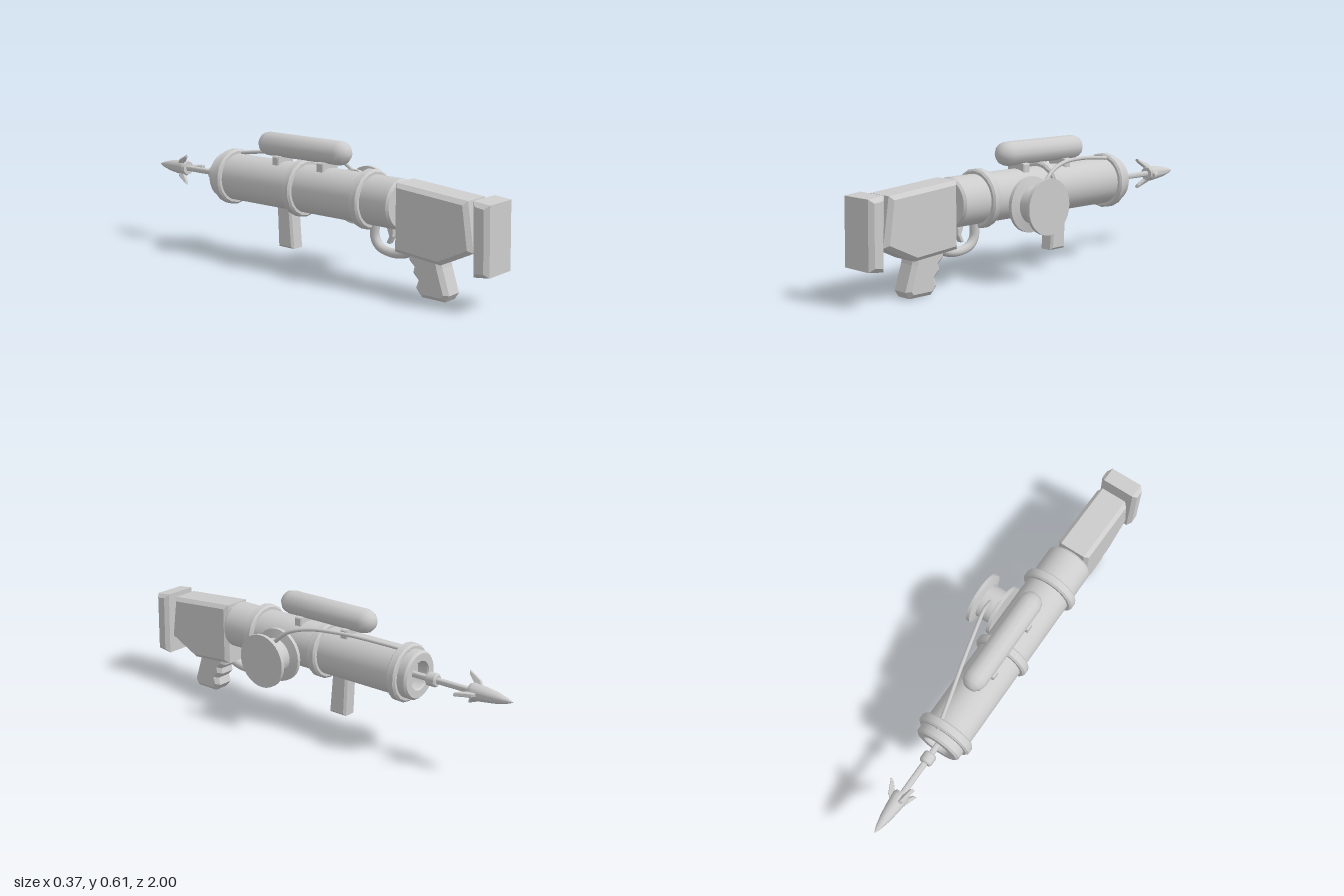
import * as THREE from 'three';
import { toCreasedNormals } from 'three/addons/utils/BufferGeometryUtils.js';

const AX = -0.058, AY = 0.37; // barrel axis

export function createModel() {
  const model = new THREE.Group();
  model.name = 'harpoonLauncher';
  const metal = new THREE.MeshStandardMaterial({ color: 0xcccccc });
  metal.name = 'light grey metal';

  const add = (name, geometry, x = 0, y = 0, z = 0, parent = model) => {
    const mesh = new THREE.Mesh(geometry, metal);
    mesh.name = name;
    mesh.position.set(x, y, z);
    parent.add(mesh);
    return mesh;
  };
  // Turned part: [radius, position along axis], running along z (or x)
  const turned = (points, sides, alongX = false, crease = 0.6) => {
    const g = new THREE.LatheGeometry(points.map(p => new THREE.Vector2(...p)), sides);
    if (alongX) g.rotateZ(-Math.PI / 2);
    else g.rotateX(Math.PI / 2);
    return toCreasedNormals(g, crease);
  };
  // Bevelled side profile of [z, y] points, given a width across x
  const profile = (points, width, bevel) => {
    const g = new THREE.ExtrudeGeometry(new THREE.Shape(points.map(p => new THREE.Vector2(...p))), {
      depth: width - 2 * bevel, bevelEnabled: true, bevelThickness: bevel,
      bevelSize: bevel, bevelOffset: -bevel, bevelSegments: 1,
    });
    g.translate(0, 0, bevel - width / 2);
    g.rotateY(-Math.PI / 2);
    return g;
  };
  const tube = (points, radius, segments) => new THREE.TubeGeometry(
    new THREE.CatmullRomCurve3(points.map(p => new THREE.Vector3(...p))), segments, radius, 8);

  // Barrel with a shallow open muzzle
  add('barrel', turned([
    [0, -0.49], [0.06, -0.49], [0.06, -0.535], [0.066, -0.543], [0.1, -0.543], [0.109, -0.533],
    [0.109, 0.507], [0.1, 0.518], [0, 0.518],
  ], 32), AX, AY);

  // Raised bands
  [0.345, -0.037, -0.475].forEach(z => add('barrelBand', turned([
    [0.1, -0.023], [0.122, -0.023], [0.131, -0.015], [0.131, 0.015], [0.122, 0.023], [0.1, 0.023],
  ], 18), AX, AY, z));

  // Gas tank and its brackets
  const tank = [[0, -0.263]];
  for (let i = 1; i <= 3; i++) {
    const a = i / 3 * Math.PI / 2;
    tank.push([0.055 * Math.sin(a), -0.208 - 0.055 * Math.cos(a)]);
  }
  add('tank', turned([...tank, ...tank.map(([r, z]) => [r, -z]).reverse()], 12, false, 0.8),
    AX, 0.55, -0.035);
  [0.1, -0.165].forEach(z => add('tankBracket',
    profile([[-0.02, 0.455], [0.02, 0.455], [0.02, 0.505], [-0.02, 0.505]], 0.106, 0.005), AX, 0, z));

  // Line spool on the side
  add('spool', turned([
    [0, 0.06], [0.124, 0.06], [0.124, 0.077], [0.083, 0.087], [0.083, 0.16],
    [0.124, 0.169], [0.124, 0.186], [0, 0.186],
  ], 32, true, 0.2), 0, 0.336, 0.152);

  // Line from the spool to the muzzle
  add('line', tube([
    [-0.04, 0.475, -0.5], [-0.005, 0.492, -0.36], [0.038, 0.506, -0.2],
    [0.08, 0.502, -0.04], [0.108, 0.473, 0.06], [0.123, 0.405, 0.14],
  ], 0.009, 36));

  // Stock, butt pad and pistol grip
  add('stock', profile([
    [0.525, 0.18], [0.525, 0.474], [0.88, 0.444], [0.912, 0.236], [0.755, 0.16],
  ], 0.157, 0.018), AX);
  add('buttPad', profile([
    [0.916, 0.452], [0.993, 0.444], [1.0, 0.153], [0.925, 0.144],
  ], 0.19, 0.018), AX);
  add('grip', profile([
    [0.735, 0.2], [0.748, 0.14], [0.785, 0.03], [0.765, 0], [0.65, 0], [0.618, 0.035],
    [0.63, 0.07], [0.602, 0.098], [0.608, 0.125], [0.582, 0.148], [0.575, 0.2],
  ], 0.106, 0.018), AX);

  // Trigger and guard
  add('triggerGuard', tube([
    [AX, 0.2, 0.59], [AX, 0.168, 0.55], [AX, 0.152, 0.47], [AX, 0.168, 0.4],
    [AX, 0.205, 0.372], [AX, 0.28, 0.372],
  ], 0.021, 24));
  add('trigger', profile([
    [0.435, 0.28], [0.48, 0.28], [0.476, 0.225], [0.458, 0.192], [0.442, 0.196], [0.456, 0.225],
  ], 0.028, 0.003), AX);

  // Front handle
  add('foreGrip', profile([
    [-0.09, 0.29], [-0.173, 0.29], [-0.165, 0.085], [-0.073, 0.085],
  ], 0.074, 0.01), AX);

  // Harpoon
  const harpoon = new THREE.Group();
  harpoon.name = 'harpoon';
  harpoon.position.set(AX, AY, 0);
  model.add(harpoon);
  add('shaft', turned([[0, -0.82], [0.014, -0.82], [0.014, -0.45], [0, -0.45]], 12), 0, 0, 0, harpoon);
  add('collar', turned([
    [0, -0.633], [0.024, -0.633], [0.03, -0.627], [0.03, -0.589], [0.024, -0.583], [0, -0.583],
  ], 14), 0, 0, 0, harpoon);
  add('head', turned([
    [0, -1], [0.012, -0.972], [0.025, -0.92], [0.033, -0.86], [0.038, -0.81], [0.032, -0.795], [0, -0.795],
  ], 14), 0, 0, 0, harpoon);
  // Three swept barbs
  for (let i = 0; i < 3; i++) {
    const barb = profile([[-0.845, 0.028], [-0.83, 0.05], [-0.765, 0.083], [-0.77, 0.066], [-0.81, 0.028]], 0.018, 0.003);
    add('barb', barb, 0, 0, 0, harpoon).rotation.z = -Math.PI / 2 + i * Math.PI * 2 / 3;
  }
  return model;
}
